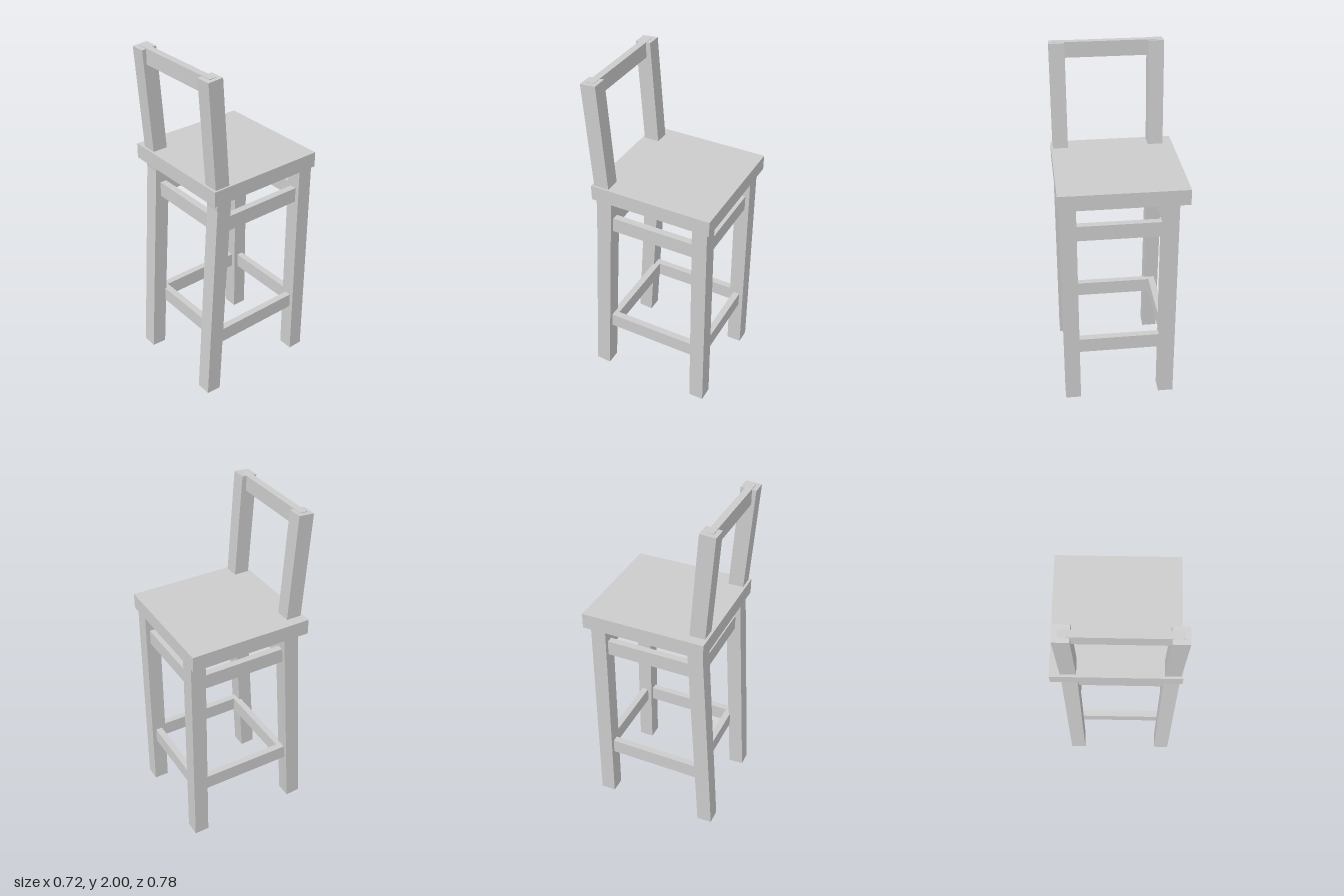
import * as THREE from 'three';

const material = new THREE.MeshStandardMaterial({ color: 0xcccccc, flatShading: true });
const LEG = 0.09, RAIL = 0.04, RAIL_H = 0.09;
const LEG_X = { right: -0.258, left: 0.305 };

export function createModel() {
  const group = new THREE.Group();

  // Box given by its lower and upper corners
  const box = (name, x0, x1, y0, y1, z0, z1) => {
    const mesh = new THREE.Mesh(new THREE.BoxGeometry(x1 - x0, y1 - y0, z1 - z0), material);
    mesh.position.set((x0 + x1) / 2, (y0 + y1) / 2, (z0 + z1) / 2);
    mesh.name = name;
    group.add(mesh);
  };

  // Square bar leaning in z, running between two end-centre points
  const leaningBar = (name, x, width, y0, z0, y1, z1) => {
    const length = Math.hypot(y1 - y0, z1 - z0);
    const mesh = new THREE.Mesh(new THREE.BoxGeometry(width, length, LEG), material);
    mesh.position.set(x, (y0 + y1) / 2, (z0 + z1) / 2);
    mesh.rotation.x = Math.atan2(z1 - z0, y1 - y0);
    mesh.name = name;
    group.add(mesh);
  };

  box('seat', -0.36, 0.36, 1.295, 1.385, -0.39, 0.33);

  // Legs and backrest posts on both sides
  for (const [side, x] of Object.entries(LEG_X)) {
    const h = LEG / 2;
    box(`${side}StraightLeg`, x - h, x + h, 0, 1.32, -0.374, -0.285);
    const foot = side === 'left' ? 0.338 : 0.343;
    leaningBar(`${side}LeaningLeg`, x, LEG, 0.003, foot, 1.31, 0.257);
    leaningBar(`${side}BackrestPost`, x, LEG - 0.002, 1.26, 0.262, 1.997, 0.313);
  }

  box('backrestRail', -0.273, 0.325, 1.91, 2, 0.293, 0.333);

  // Two rectangular rings of rails: footrest and seat apron
  const x0 = LEG_X.right - RAIL / 2, x1 = LEG_X.left + RAIL / 2;
  const z0 = -0.349, z1 = 0.28;
  for (const [ring, y] of [['footrest', 0.322], ['apron', 1.085]]) {
    const top = y + RAIL_H;
    box(`${ring}BackrestSideRail`, x0, x1, y, top, z1 - RAIL, z1);
    box(`${ring}OpenSideRail`, x0, x1, y, top, z0, z0 + RAIL);
    box(`${ring}RightRail`, x0, x0 + RAIL, y, top, z0 + RAIL, z1 - RAIL);
    box(`${ring}LeftRail`, x1 - RAIL, x1, y, top, z0 + RAIL, z1 - RAIL);
  }

  return group;
}
